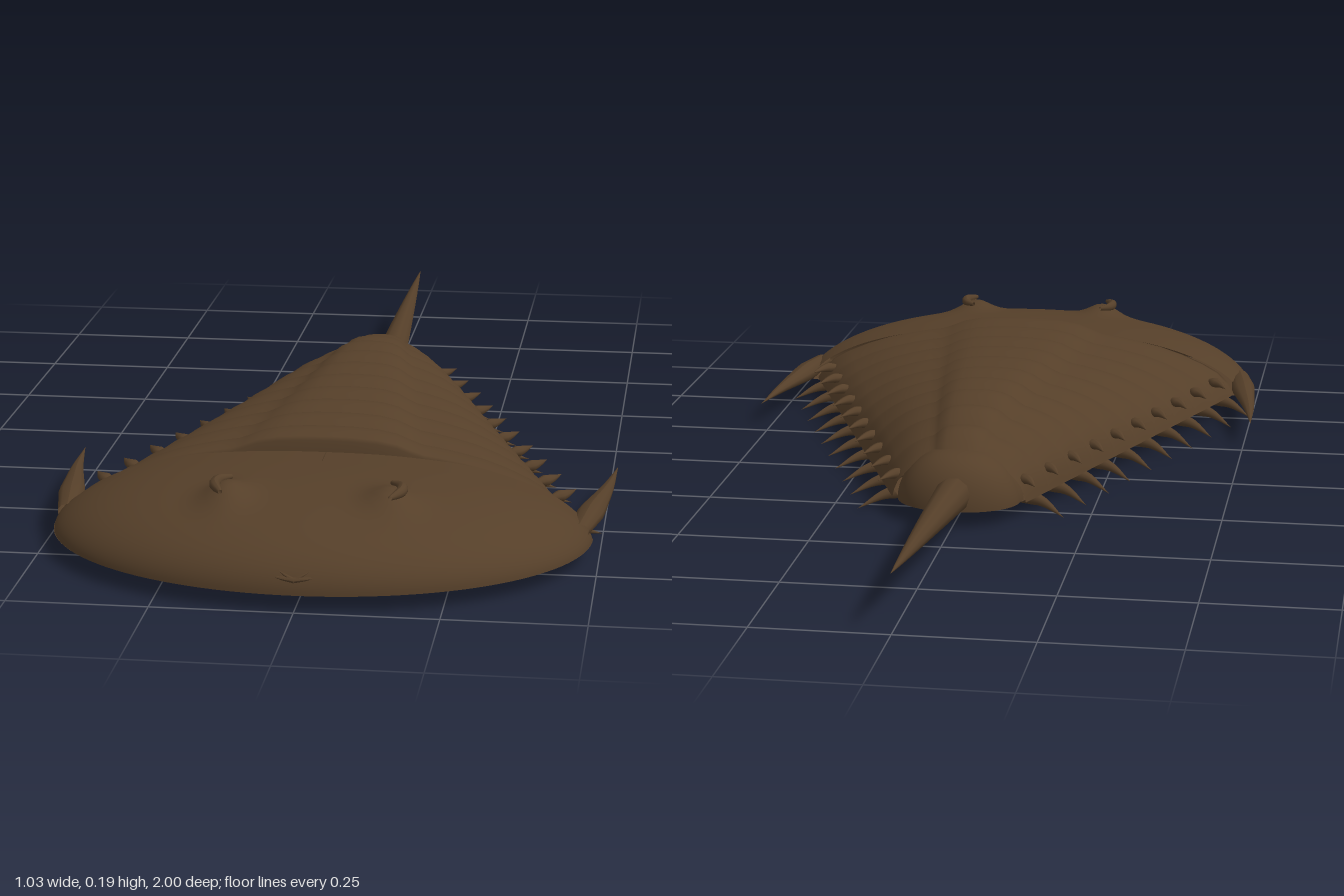
import * as THREE from 'three';

const shell = new THREE.MeshStandardMaterial({ color: 0x553f29, side: THREE.DoubleSide });
shell.name = 'brown shell';

const V = (x, y, z) => new THREE.Vector3(x, y, z);

// Surface through equal-length rows of points
function loft(rows) {
  const n = rows[0].length, index = [];
  for (let j = 0; j < rows.length - 1; j++) {
    for (let i = 0; i < n - 1; i++) {
      const a = j * n + i, b = a + n;
      index.push(a, a + 1, b, a + 1, b + 1, b);
    }
  }
  const g = new THREE.BufferGeometry().setFromPoints(rows.flat());
  g.setIndex(index);
  g.computeVertexNormals();
  return g;
}

// Half dome facing +z, blunt in front, with a short straight strip behind its centre
function halfDome(halfWidth, depth, height, strip, backWidth, bump = () => 0) {
  const rows = [], rings = 32, steps = 56;
  for (let j = 0; j <= rings; j++) {
    const r = Math.max(0.001, Math.sin((j / rings) * Math.PI / 2));
    const rise = Math.max(0, 1 - Math.pow(r, 2.5));
    const point = (x, z, front) => V(x, height * Math.pow(rise, 0.62 - 0.14 * front) + bump(x, z), z);
    const row = [point(r * backWidth, -strip, 0)];
    for (let i = 0; i <= steps; i++) {
      const t = (i / steps) * Math.PI;
      row.push(point(r * halfWidth * Math.cos(t), r * depth * Math.sin(t), Math.sin(t)));
    }
    row.push(point(-r * backWidth, -strip, 0));
    rows.push(row);
  }
  return loft(rows);
}

// Curved tapering spine; shape(t) gives the thickness along it
function spine(points, radius, flat = 1, shape = t => 1 - t) {
  const path = new THREE.CatmullRomCurve3(points.map(p => V(...p)));
  const seg = 12, sides = 10;
  const g = new THREE.TubeGeometry(path, seg, radius, sides);
  const p = g.attributes.position, v = V(0, 0, 0);
  for (let i = 0; i < p.count; i++) {
    const t = Math.floor(i / (sides + 1)) / seg;
    const c = path.getPointAt(t);
    v.fromBufferAttribute(p, i).sub(c).multiplyScalar(Math.max(0.01, shape(t)));
    v.y *= flat;
    v.add(c);
    p.setXYZ(i, v.x, v.y, v.z);
  }
  g.computeVertexNormals();
  return g;
}

// Body width and height along its length
const BASE = 0.035;
const halfWidth = z => 0.24 + 0.375 * z;
const ridge = z => 0.15 - 0.55 * Math.min(0, z) ** 2;

// Three-lobed cross-section: fraction of half width, fraction of height
const lobes = [[0, 1], [0.1, 0.995], [0.2, 0.975], [0.28, 0.93], [0.34, 0.86], [0.39, 0.81], [0.45, 0.785],
  [0.55, 0.73], [0.65, 0.66], [0.75, 0.56], [0.85, 0.43], [0.92, 0.31], [0.97, 0.16], [1, 0]];
const section = [...lobes.slice(1).reverse().map(([s, h]) => [-s, h]), ...lobes];

// Soft swelling of the head around each eye
const eyeSwelling = (x, z) =>
  0.026 * Math.exp(-(((Math.abs(x) - 0.145) / 0.04) ** 2) - ((z - 0.175) / 0.05) ** 2);

// Flat belly following the outline of head, body and tail plate
function belly() {
  const outline = new THREE.Shape();
  outline.absellipse(0, 0.64, 0.488, 0.358, 0, Math.PI);
  outline.lineTo(-0.472, 0.575);
  outline.lineTo(-halfWidth(0.57), 0.57);
  outline.lineTo(-0.12, -0.29);
  outline.absellipse(0, -0.29, 0.118, 0.089, Math.PI, 2 * Math.PI);
  outline.lineTo(halfWidth(0.57), 0.57);
  outline.lineTo(0.472, 0.575);
  return new THREE.ShapeGeometry(outline, 32).rotateX(Math.PI / 2);
}

export function createModel() {
  const model = new THREE.Group();
  const add = (name, geometry, parent = model) => {
    const m = new THREE.Mesh(geometry, shell);
    m.name = name;
    parent.add(m);
    return m;
  };

  // Head shield and belly
  add('headShield', halfDome(0.487, 0.36, 0.128, 0.062, 0.472, eyeSwelling)).position.set(0, BASE, 0.64);
  add('belly', belly()).position.y = BASE;

  // Body segments, each arched from front to back
  const thorax = new THREE.Group();
  thorax.name = 'thorax';
  model.add(thorax);
  const count = 10, front = 0.585, pitch = 0.088;
  for (let k = 0; k < count; k++) {
    const rows = [];
    const row = (z, scale, lift) => rows.push(section.map(([s, h]) =>
      V(s * halfWidth(z), BASE + h * (ridge(z) * scale + lift), z)));
    const z0 = front - k * pitch;
    if (k === 0) row(z0 + 0.002, 0.7, 0);
    for (let i = 0; i <= 8; i++) {
      const t = i / 8;
      row(z0 - t * pitch, 1, 0.013 * Math.sin(Math.PI * t) - 0.001);
    }
    add('segment' + (k + 1), loft(rows), thorax);
  }

  // Rounded tail plate and long tail spine
  const tailPlate = add('tailPlate', halfDome(0.118, 0.09, 0.1, 0.015, 0.122));
  tailPlate.position.set(0, BASE, -0.29);
  tailPlate.rotation.y = Math.PI;
  add('tailSpine', spine([[0, 0.062, -0.33], [0, 0.088, -0.66], [0, 0.113, -1]], 0.036, 1,
    t => Math.pow(1 - t, 0.85)));

  // Paired parts
  for (const s of [1, -1]) {
    const side = new THREE.Group();
    side.name = s > 0 ? 'leftSide' : 'rightSide';
    model.add(side);

    // Cheek spine sweeping back from the head
    add('cheekSpine', spine([[s * 0.464, 0.056, 0.66], [s * 0.484, 0.056, 0.52], [s * 0.502, 0.056, 0.4],
      [s * 0.515, 0.056, 0.27]], 0.026, 0.75, t => Math.min(1, 0.7 + t) * Math.min(1, 1.35 * (1 - t))), side);

    // Crescent eye
    add('eye', spine([[s * 0.142, 0.17, 0.772], [s * 0.16, 0.17, 0.79], [s * 0.164, 0.17, 0.82],
      [s * 0.148, 0.168, 0.857]], 0.01, 1, t => 0.4 + 0.6 * Math.sin(Math.PI * t)), side);

    // Small ridges at the front of the head
    add('frontRidge', spine([[0, 0.06, 0.992], [s * 0.025, 0.063, 0.991], [s * 0.055, 0.067, 0.984]], 0.006), side);
    add('frontRidge', spine([[0, 0.06, 0.992], [s * 0.015, 0.068, 0.99], [s * 0.03, 0.076, 0.985]], 0.005), side);

    // Edge spines, and lower spines staggered between them
    for (let k = 0; k < count; k++) {
      const z = 0.547 - k * pitch, w = halfWidth(z);
      const e = z - 0.035, we = halfWidth(e);
      add('edgeSpine', spine([[s * (we - 0.03), 0.074, e + 0.025], [s * (we - 0.004), 0.076, e],
        [s * (we + 0.016), 0.074, e - 0.04]], 0.013, 0.8,
        t => Math.min(1, 0.4 + 2 * t) * Math.min(1, 1.5 * (1 - t))), side);
      add('lowerSpine', spine([[s * (w - 0.067), 0.029, z + 0.02], [s * w, 0.025, z + 0.004],
        [s * (w + 0.052), 0.004, z - 0.035]], 0.013, 1, t => Math.min(1, 1.7 * (1 - t))), side);
    }
  }
  return model;
}
